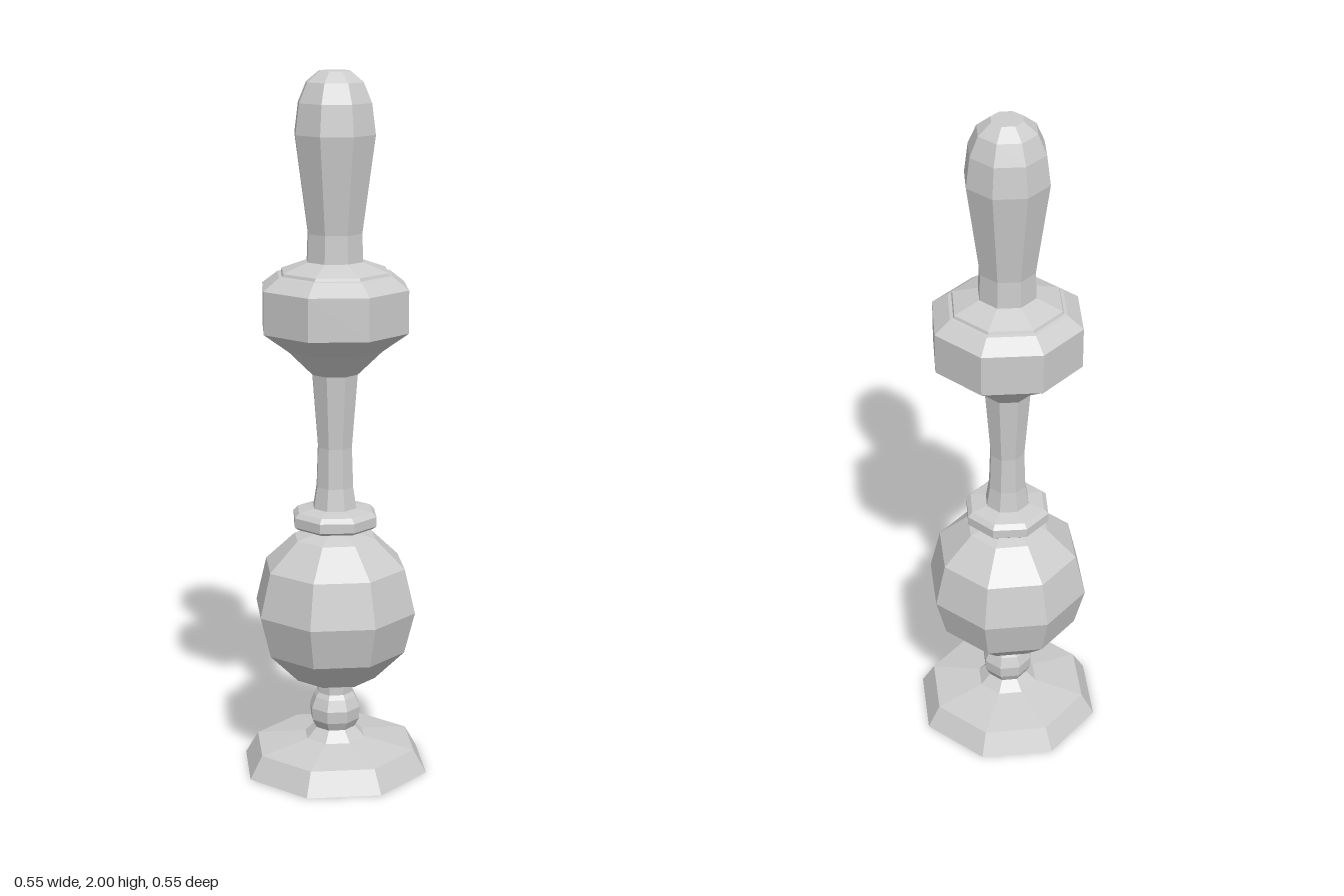
import * as THREE from 'three';

const SIDES = 8;

export function createModel() {
  const model = new THREE.Group();
  const grey = new THREE.MeshStandardMaterial({ color: 0xcccccc, flatShading: true, side: THREE.DoubleSide });
  grey.name = 'light grey';

  // Turned eight-sided part from [radius, height] pairs, bottom to top
  function turned(name, profile, twist = 0) {
    const points = profile.map(([r, y]) => new THREE.Vector2(r, y));
    const mesh = new THREE.Mesh(new THREE.LatheGeometry(points, SIDES), grey);
    mesh.name = name;
    mesh.rotation.y = twist;
    model.add(mesh);
  }

  // Lower half: hollow foot, beaded stem and ball, turned slightly
  const twist = 0.05;
  turned('foot', [[0.275, 0], [0.237, 0.065], [0.09, 0.09]], twist);
  turned('stemBead', [
    [0.09, 0.09], [0.06, 0.12], [0.073, 0.145], [0.075, 0.18], [0.062, 0.212], [0.053, 0.225], [0.053, 0.257],
  ], twist);
  turned('ball', [
    [0.053, 0.255], [0.12, 0.273], [0.207, 0.36], [0.238, 0.48], [0.207, 0.608], [0.12, 0.69], [0, 0.72],
  ], twist);

  // Upper half: collar, neck, wide drum and rounded handle
  turned('collar', [[0.115, 0.722], [0.125, 0.73], [0.125, 0.757], [0.112, 0.77], [0.065, 0.778]]);
  turned('neck', [[0.065, 0.778], [0.055, 0.84], [0.051, 0.955], [0.068, 1.165]]);
  turned('drum', [
    [0.068, 1.165], [0.14, 1.235], [0.216, 1.29], [0.216, 1.41], [0.17, 1.445],
    [0.16, 1.447], [0.157, 1.455], [0.083, 1.482],
  ]);
  turned('handle', [
    [0.083, 1.482], [0.08, 1.56], [0.118, 1.83], [0.107, 1.915], [0.083, 1.97], [0.045, 2], [0, 2],
  ]);

  return model;
}
